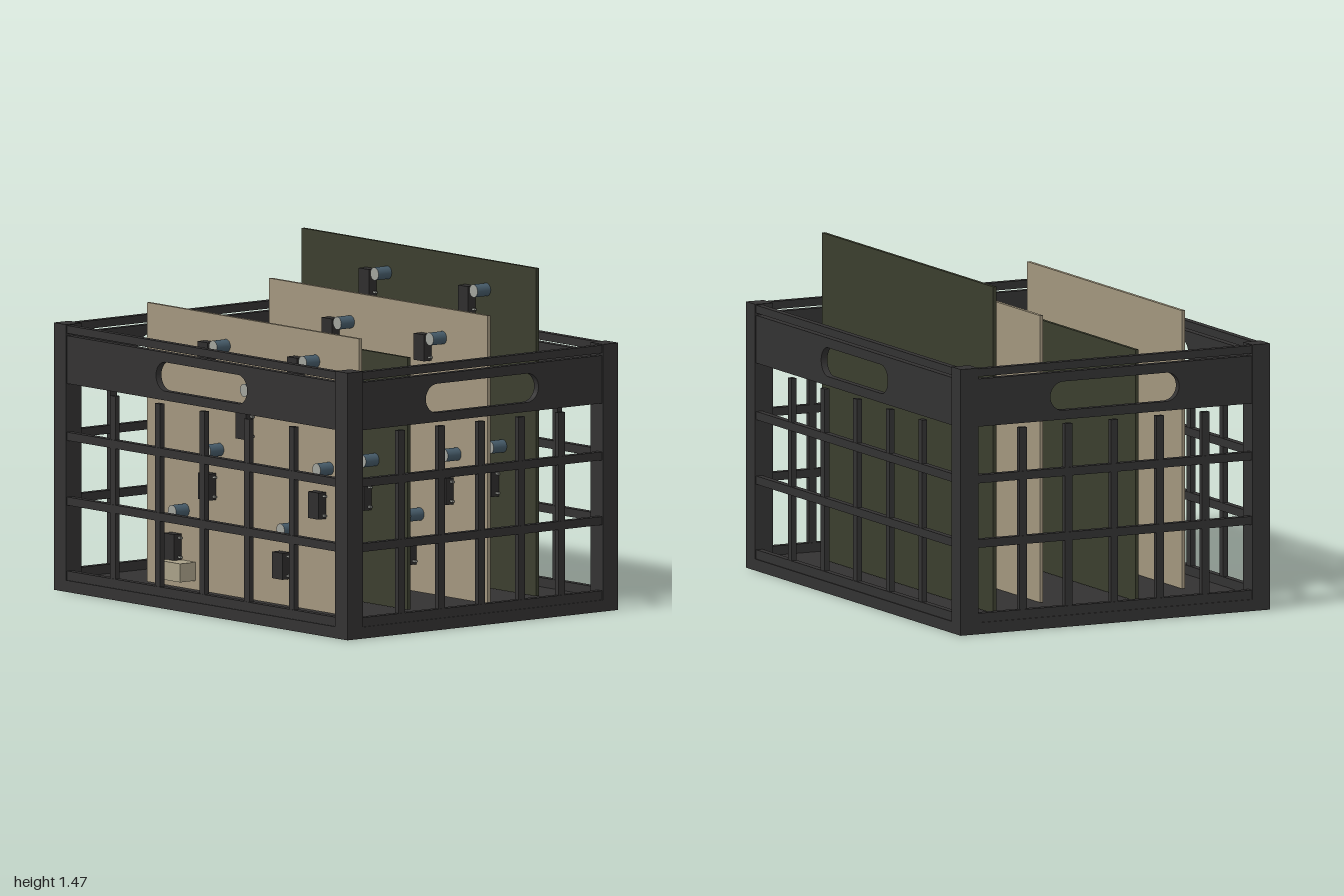
import * as THREE from 'three';

const mat = (color) => new THREE.MeshStandardMaterial({ color });
const plastic = mat(0x333232), green = mat(0x3b3e2e), beige = mat(0xa2967e);
const chipDark = mat(0x2e2d2d), blue = mat(0x465b69), silver = mat(0xa0a29c), tan = mat(0xa8a088);

function box(parent, name, material, w, h, d, x, y, z) {
  const m = new THREE.Mesh(new THREE.BoxGeometry(w, h, d), material);
  m.name = name;
  m.position.set(x, y, z);
  parent.add(m);
  return m;
}

// Upper band of a wall with a stadium-shaped hand hole
function handlePanel(length, depth) {
  const s = new THREE.Shape();
  s.moveTo(-length / 2, 0.9);
  s.lineTo(length / 2, 0.9);
  s.lineTo(length / 2, 1.107);
  s.lineTo(-length / 2, 1.107);
  s.closePath();
  const r = 0.0625, cx = 0.31 - r, cy = 1.0025;
  const hole = new THREE.Path();
  hole.moveTo(-cx, cy - r);
  hole.lineTo(cx, cy - r);
  hole.absarc(cx, cy, r, -Math.PI / 2, Math.PI / 2, false);
  hole.lineTo(-cx, cy + r);
  hole.absarc(-cx, cy, r, Math.PI / 2, Math.PI * 1.5, false);
  s.holes.push(hole);
  return new THREE.ExtrudeGeometry(s, { depth, bevelEnabled: false, curveSegments: 14 });
}

// One crate wall facing +z at distance dist from the centre
function wall(name, length, dist, slats) {
  const g = new THREE.Group();
  g.name = name;
  const t = 0.03, z = dist - 0.005 - t / 2;
  const band = new THREE.Mesh(handlePanel(length, t), plastic);
  band.name = 'handlePanel';
  band.position.z = z - t / 2;
  g.add(band);
  box(g, 'rim', plastic, length, 0.034, t, 0, 1.134, z);
  box(g, 'bottomRail', plastic, length, 0.04, t, 0, 0.07, z);
  for (const y of [0.392, 0.672]) box(g, 'rail', plastic, length, 0.036, t, 0, y, z);
  for (const x of slats) box(g, 'slat', plastic, 0.035, 0.83, t - 0.006, x, 0.465, z);
  return g;
}

// Dark chip with four side leads, and a cylindrical capacitor beside it
function component(parent, x, y, z, dx, dy) {
  const g = new THREE.Group();
  g.name = 'component';
  g.position.set(x, y, z);
  box(g, 'chip', chipDark, 0.07, 0.115, 0.042, 0, 0, 0.021);
  for (const sx of [-1, 1]) for (const sy of [-1, 1])
    box(g, 'lead', silver, 0.018, 0.008, 0.012, sx * 0.043, sy * 0.042, 0.014);
  const geo = new THREE.CylinderGeometry(0.028, 0.028, 0.073, 20);
  geo.rotateX(Math.PI / 2);
  const can = new THREE.Mesh(geo, [blue, silver, blue]);
  can.name = 'capacitor';
  can.position.set(dx, dy, 0.0365);
  g.add(can);
  parent.add(g);
}

// Upright circuit board; components sit at fractions of its width
function board(x0, x1, top, z, material) {
  const g = new THREE.Group();
  g.name = 'circuitBoard';
  const w = x1 - x0, t = 0.016, bottom = 0.055, face = z + t / 2;
  box(g, 'boardPanel', material, w, top - bottom, t, (x0 + x1) / 2, (top + bottom) / 2, z);
  const spots = [[0.139, 0.23], [0.65, 0.23], [0.302, 0.517], [0.82, 0.517], [0.479, 0.807]];
  for (const [f, y] of spots) component(g, x0 + f * w, y, face, 0.06, 0.163);
  for (const f of [0.298, 0.72]) component(g, x0 + f * w, top - 0.178, face, 0.11, 0.05);
  box(g, 'connector', tan, 0.145, 0.08, 0.085, x0 + 0.179 * w, 0.135, face + 0.0425);
  return g;
}

export function createModel() {
  const model = new THREE.Group();
  model.name = 'crateOfBoards';
  const X = 1, Z = 0.745, post = 0.085;

  const crate = new THREE.Group();
  crate.name = 'crate';
  box(crate, 'floor', plastic, 2 * X, 0.05, 2 * Z, 0, 0.025, 0);
  for (const sx of [-1, 1]) for (const sz of [-1, 1])
    box(crate, 'cornerPost', plastic, post, 1.105, post, sx * (X - post / 2), 0.6025, sz * (Z - post / 2));

  // Long walls front and back, short walls at the sides
  const longSlats = [-0.608, -0.304, 0, 0.304, 0.608];
  const shortSlats = [-0.44, -0.22, 0, 0.22, 0.44];
  const longLength = 2 * (X - post), shortLength = 2 * (Z - post);
  ['frontWall', 'leftWall', 'backWall', 'rightWall'].forEach((name, i) => {
    const w = i % 2 ? wall(name, shortLength, X, shortSlats) : wall(name, longLength, Z, longSlats);
    w.rotation.y = (i * Math.PI) / 2;
    crate.add(w);
  });
  model.add(crate);

  // Boards from back to front
  model.add(board(-0.84, 0.757, 1.472, -0.498, green));
  model.add(board(-0.68, 0.807, 1.3, -0.19, beige));
  model.add(board(-0.83, 0.735, 1.145, 0.192, green));
  model.add(board(-0.64, 0.803, 1.262, 0.515, beige));
  return model;
}
